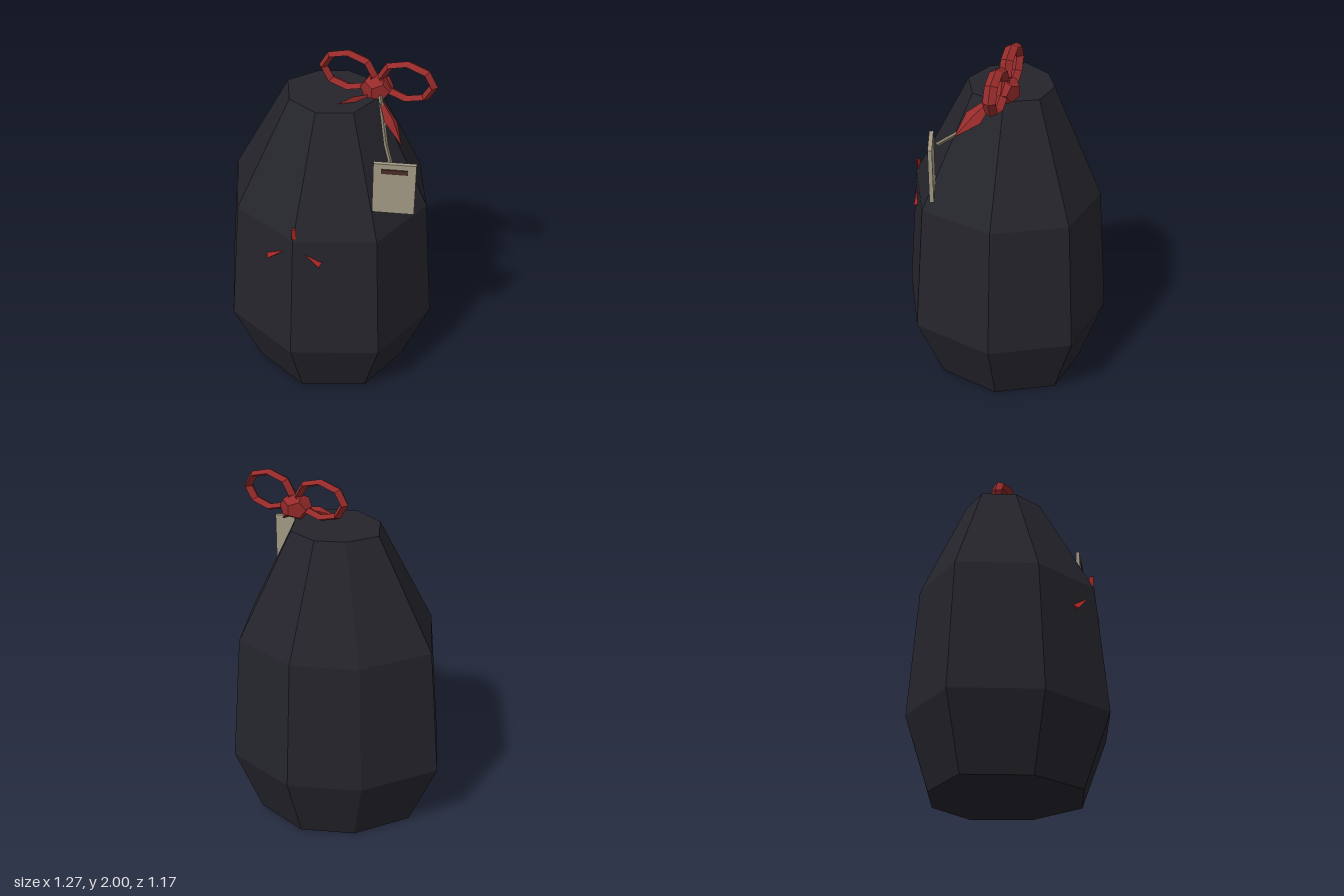
import * as THREE from 'three';

const mat = (color) => new THREE.MeshStandardMaterial({ color, flatShading: true });
const V = (x, y, z) => new THREE.Vector3(x, y, z);
const UP = V(0, 1, 0);

export function createModel() {
  const group = new THREE.Group();
  const dark = mat(0x25242c), red = mat(0x962a2a), markRed = mat(0xa82424);
  const cord = mat(0x7d7662), card = mat(0xa39a85), brown = mat(0x4a2c26);

  const add = (name, geometry, material, position, parent = group) => {
    const mesh = new THREE.Mesh(geometry, material);
    mesh.name = name;
    mesh.position.copy(position);
    parent.add(mesh);
    return mesh;
  };
  // Places a unit-high, y-aligned geometry between two points
  const span = (name, geometry, material, a, b) => {
    const dir = b.clone().sub(a);
    const mesh = add(name, geometry, material, a.clone().add(b).multiplyScalar(0.5));
    mesh.scale.y = dir.length();
    mesh.quaternion.setFromUnitVectors(UP, dir.normalize());
    return mesh;
  };

  // Sack body: eight uneven spokes, four stacked rings
  const spokes = [0.635, 0.643, 0.61, 0.605, 0.54, 0.537, 0.66, 0.629];
  const rings = [[0, 0.75], [0.4, 1], [1.14, 0.9], [1.75, 0.4]];
  const bodyGeo = new THREE.CylinderGeometry(1, 1, 1, 8, 3);
  const p = bodyGeo.attributes.position;
  for (let i = 0; i < p.count; i++) {
    const x = p.getX(i), z = p.getZ(i);
    const spoke = (Math.round(Math.atan2(x, z) / (Math.PI / 4)) + 8) % 8;
    const [y, s] = rings[Math.round((p.getY(i) + 0.5) * 3)];
    p.setXYZ(i, x * spokes[spoke] * s, y, z * spokes[spoke] * s);
  }
  bodyGeo.computeVertexNormals();
  add('body', bodyGeo, dark, V(0.025, 0, -0.05));

  // Bow: two faceted loops and a knot
  for (const [name, x] of [['bowLoopRight', 0.107], ['bowLoopLeft', 0.428]]) {
    const loop = add(name, new THREE.TorusGeometry(0.14, 0.024, 4, 8), red, V(x, 1.883, -0.052));
    loop.scale.set(1, 0.71, 1.4);
  }
  const knot = add('bowKnot', new THREE.DodecahedronGeometry(0.087), red, V(0.265, 1.82, -0.052));
  knot.scale.y = 0.88;

  // Ribbon tails: flattened diamonds, widest past the middle
  const tail = (name, a, b, width, roll) => {
    const geo = new THREE.OctahedronGeometry(0.5);
    const q = geo.attributes.position;
    for (let i = 0; i < q.count; i++) {
      const y = q.getY(i);
      q.setXYZ(i, q.getX(i) * width * 2, Math.abs(y) < 0.1 ? 0.08 : y, q.getZ(i) * 0.035);
    }
    geo.rotateY(roll);
    geo.computeVertexNormals();
    span(name, geo, red, a, b);
  };
  tail('ribbonTailLeft', V(0.27, 1.81, -0.03), V(0.48, 1.63, 0.155), 0.05, 0.4);
  tail('ribbonTailRight', V(0.28, 1.8, -0.02), V(0.1, 1.75, 0.08), 0.03, 0);

  // Cord from the knot to the tag
  const path = [V(0.29, 1.82, -0.02), V(0.395, 1.615, 0.155), V(0.46, 1.565, 0.255)];
  for (let i = 0; i < 2; i++) {
    span('cord', new THREE.CylinderGeometry(0.012, 0.012, 1, 5), cord, path[i], path[i + 1]);
  }

  // Hanging tag with a dark bar
  const tag = new THREE.Group();
  tag.name = 'tag';
  tag.position.set(0.488, 1.45, 0.277);
  tag.rotation.y = 0.26;
  group.add(tag);
  add('tagCard', new THREE.BoxGeometry(0.217, 0.3, 0.022), card, V(0, 0, 0), tag);
  add('tagBar', new THREE.BoxGeometry(0.135, 0.026, 0.012), brown, V(0, 0.107, 0.01), tag);

  // Three small slashes on the front
  const slash = (name, base, tip, r) =>
    span(name, new THREE.ConeGeometry(r, 1, 3), markRed, base, tip);
  slash('slashRight', V(-0.143, 0.956, 0.468), V(-0.01, 1.075, 0.508), 0.02);
  slash('slashLeft', V(0.162, 0.995, 0.482), V(0.07, 1.075, 0.506), 0.018);
  add('slashTop', new THREE.CylinderGeometry(0.014, 0.014, 0.06, 3).rotateY(Math.PI / 2), markRed, V(0.026, 1.185, 0.508));

  return group;
}
